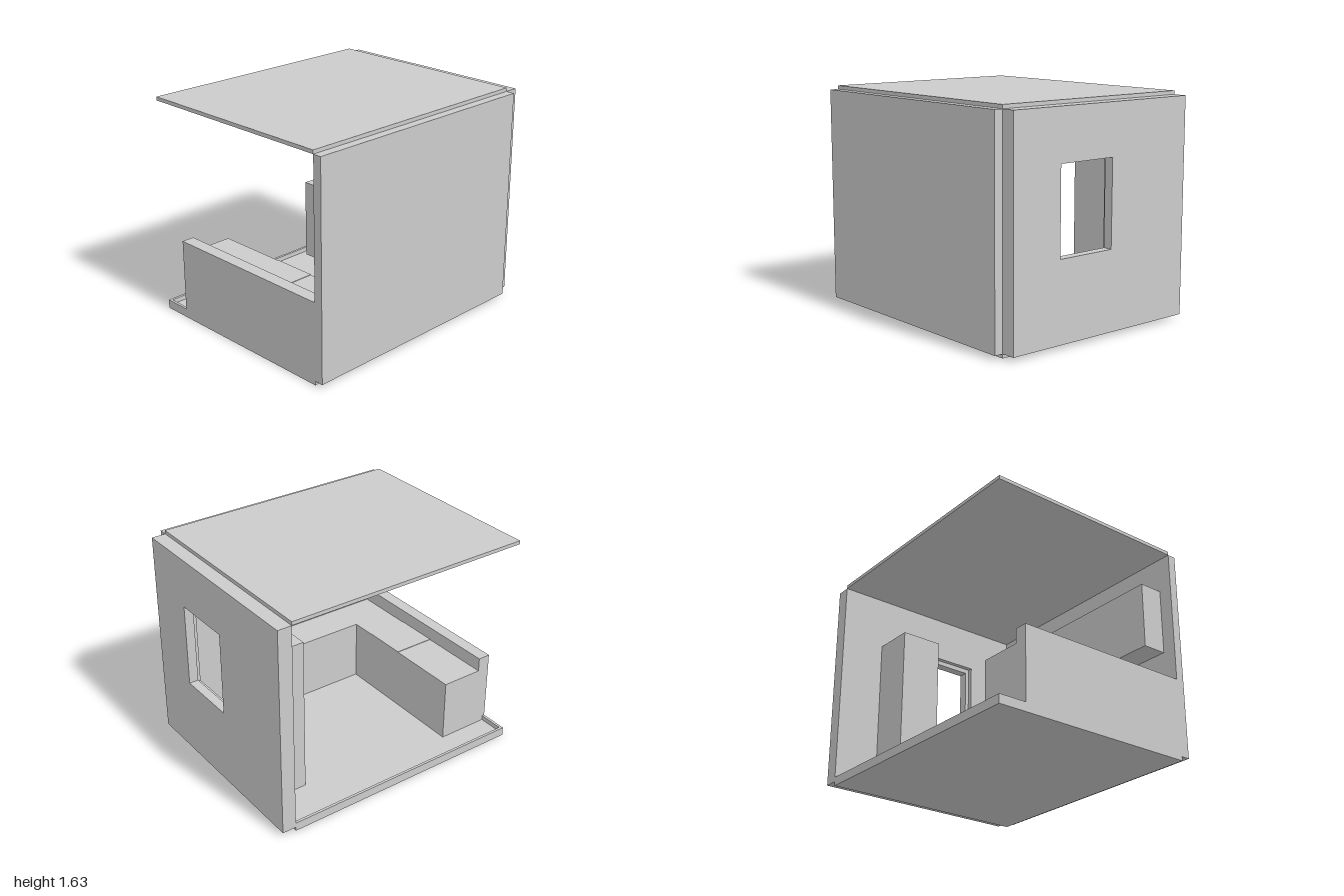
import * as THREE from 'three';

const material = new THREE.MeshStandardMaterial({ color: 0xcccccc, flatShading: true });

// Box given by its minimum and maximum on each axis
function addBox(group, name, [x0, x1], [y0, y1], [z0, z1]) {
  const mesh = new THREE.Mesh(new THREE.BoxGeometry(x1 - x0, y1 - y0, z1 - z0), material);
  mesh.position.set((x0 + x1) / 2, (y0 + y1) / 2, (z0 + z1) / 2);
  mesh.name = name;
  group.add(mesh);
}

// Outline of a rectangle, for shapes and holes
function rect(PathType, x0, x1, y0, y1) {
  return new PathType([
    new THREE.Vector2(x0, y0), new THREE.Vector2(x1, y0),
    new THREE.Vector2(x1, y1), new THREE.Vector2(x0, y1),
  ]);
}

// One layer of the back wall with its window opening
function addWallLayer(group, name, hole, z0, z1) {
  const shape = rect(THREE.Shape, -0.82, 0.755, 0.03, 1.605);
  shape.holes.push(rect(THREE.Path, ...hole));
  const geometry = new THREE.ExtrudeGeometry(shape, { depth: z1 - z0, bevelEnabled: false });
  const mesh = new THREE.Mesh(geometry, material);
  mesh.position.z = z0;
  mesh.name = name;
  group.add(mesh);
}

export function createModel() {
  const model = new THREE.Group();
  model.name = 'kitchenRoom';

  // Floor tray with a low rim on the open sides
  addBox(model, 'floor', [-0.82, 0.755], [0, 0.03], [-0.895, 1]);
  addBox(model, 'leftRim', [-0.82, -0.8], [0.03, 0.065], [-0.895, 1]);
  addBox(model, 'frontRim', [-0.8, -0.61], [0.03, 0.065], [0.98, 1]);

  // Shell: side wall, roof, and back wall with a stepped window opening
  addBox(model, 'sideWall', [0.755, 0.82], [0.03, 1.605], [-0.895, 1]);
  addBox(model, 'roof', [-0.82, 0.755], [1.605, 1.632], [-0.895, 1]);
  addWallLayer(model, 'backWallOuter', [-0.11, 0.355, 0.61, 1.235], -1, -0.93);
  addWallLayer(model, 'backWallInner', [-0.14, 0.385, 0.58, 1.27], -0.93, -0.895);

  // Front breakfast bar: raised ledge and the counter behind it
  addBox(model, 'frontLedge', [-0.61, 0.755], [0.03, 0.605], [0.905, 1]);
  addBox(model, 'frontCounter', [-0.61, 0.755], [0.03, 0.5], [0.585, 0.905]);
  addBox(model, 'counterPlate', [-0.05, 0.28], [0.5, 0.504], [0.585, 0.905]);

  // Side counter with two stacked rows of wall cabinets above
  addBox(model, 'sideCounter', [0.476, 0.755], [0.03, 0.5], [-0.45, 0.585]);
  addBox(model, 'lowerWallCabinet', [0.57, 0.755], [0.85, 1.135], [-0.57, 0.895]);
  addBox(model, 'upperWallCabinet', [0.57, 0.755], [1.135, 1.345], [-0.57, 0.895]);

  // Tall cabinet against the back wall
  addBox(model, 'tallCabinet', [-0.48, -0.165], [0.03, 1.21], [-0.895, -0.58]);

  return model;
}
